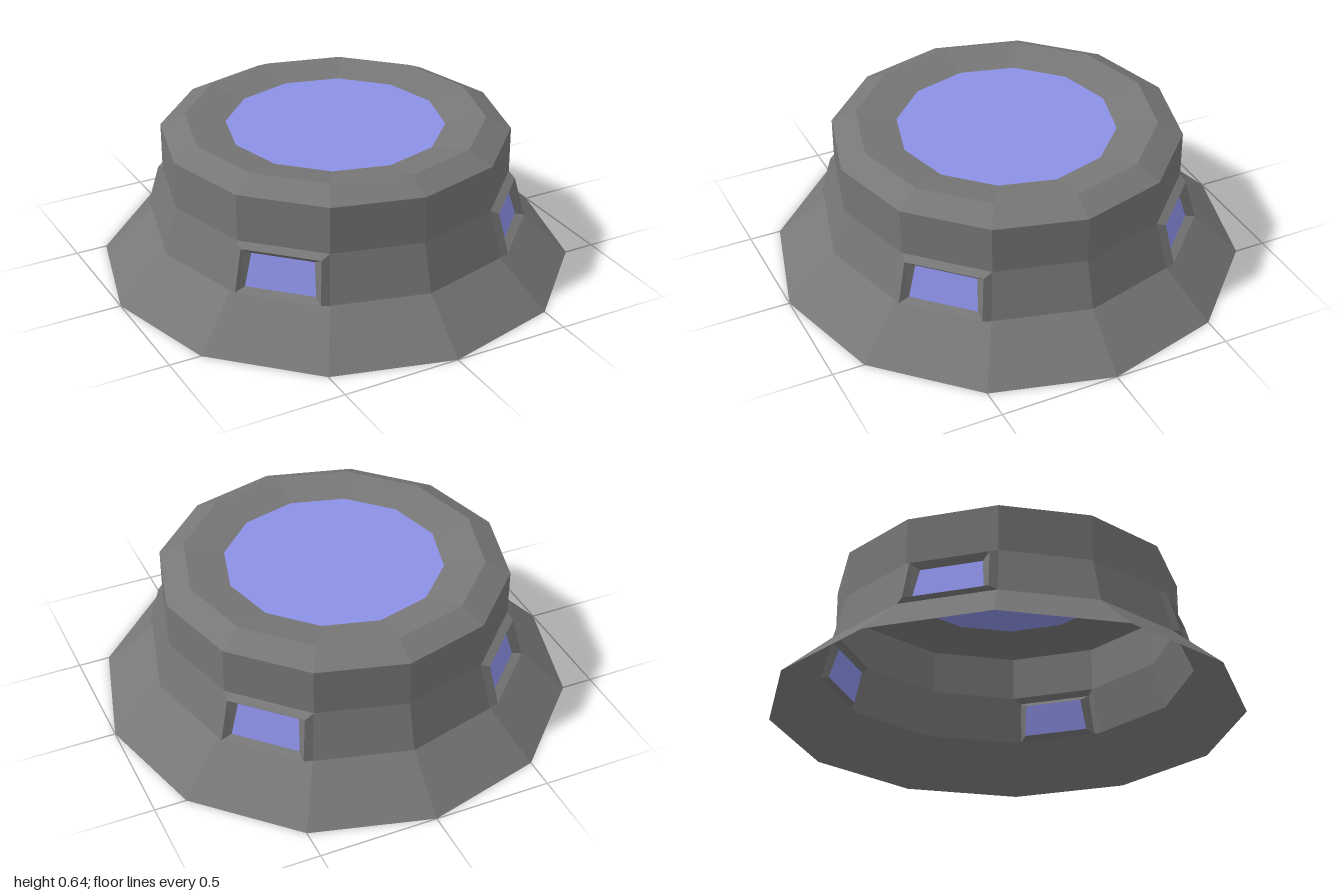
import * as THREE from 'three';

const SIDES = 12;
const STEP = (Math.PI * 2) / SIDES;

const grey = new THREE.MeshStandardMaterial({ color: 0x777777, flatShading: true, side: THREE.DoubleSide });
const glass = new THREE.MeshStandardMaterial({ color: 0x8c90e6, flatShading: true, side: THREE.DoubleSide });

function addMesh(parent, name, geometry, material) {
  const mesh = new THREE.Mesh(geometry, material);
  mesh.name = name;
  parent.add(mesh);
  return mesh;
}

// Faceted shell from [radius, height] pairs, over some of the twelve sides
function shell(profile, first = 0, count = SIDES) {
  const points = profile.map(([r, y]) => new THREE.Vector2(r, y));
  return new THREE.LatheGeometry(points, count, first * STEP, count * STEP);
}

// Four corners of a trapezoid, counter-clockwise; each end is [half width, height, distance out]
function loop([wb, yb, zb], [wt, yt, zt]) {
  return [[-wb, yb, zb], [wb, yb, zb], [wt, yt, zt], [-wt, yt, zt]];
}

// Quads joining each loop to the next one; a single loop is filled
function loftLoops(loops) {
  const pos = [];
  const quad = (a, b, c, d) => pos.push(...a, ...b, ...c, ...a, ...c, ...d);
  if (loops.length === 1) quad(...loops[0]);
  for (let k = 0; k + 1 < loops.length; k++) {
    for (let i = 0; i < 4; i++) {
      const j = (i + 1) % 4;
      quad(loops[k][i], loops[k][j], loops[k + 1][j], loops[k + 1][i]);
    }
  }
  const g = new THREE.BufferGeometry();
  g.setAttribute('position', new THREE.Float32BufferAttribute(pos, 3));
  g.computeVertexNormals();
  return g;
}

export function createModel() {
  const model = new THREE.Group();
  model.name = 'dome';

  const low = [0.79, 0.19];
  const high = [0.735, 0.39];

  // Open flared skirt, upper wall with bevelled rim and sunken ring
  addMesh(model, 'skirt', shell([[1, 0], low]), grey);
  addMesh(model, 'upperWall', shell([high, [0.735, 0.59], [0.63, 0.64], [0.46, 0.608]]), grey);

  // Skylight in the roof
  const skylight = addMesh(model, 'skylight', new THREE.CircleGeometry(0.46, SIDES), glass);
  skylight.rotation.x = -Math.PI / 2;
  skylight.position.y = 0.608;

  // Window opening fills a whole wall facet; its frame rises to a ridge, then drops to the pane
  const facetEnd = ([r, y]) => [r * Math.sin(STEP / 2), y, r * Math.cos(STEP / 2)];
  const opening = loop(facetEnd(low), facetEnd(high));
  const ridge = loop([0.176, 0.2, 0.788], [0.165, 0.372, 0.742]);
  const pane = loop([0.146, 0.215, 0.754], [0.13, 0.348, 0.717]);
  const frameGeometry = loftLoops([opening, ridge, pane]);
  const paneGeometry = loftLoops([pane]);

  for (let i = 0; i < 4; i++) {
    // Two plain facets between neighbouring windows
    addMesh(model, 'middleWall', shell([low, high], 2 + i * 3, 2), grey);

    const win = new THREE.Group();
    win.name = 'window';
    win.rotation.y = Math.PI / 4 + (i * Math.PI) / 2;
    addMesh(win, 'windowFrame', frameGeometry, grey);
    addMesh(win, 'windowPane', paneGeometry, glass);
    model.add(win);
  }
  return model;
}
